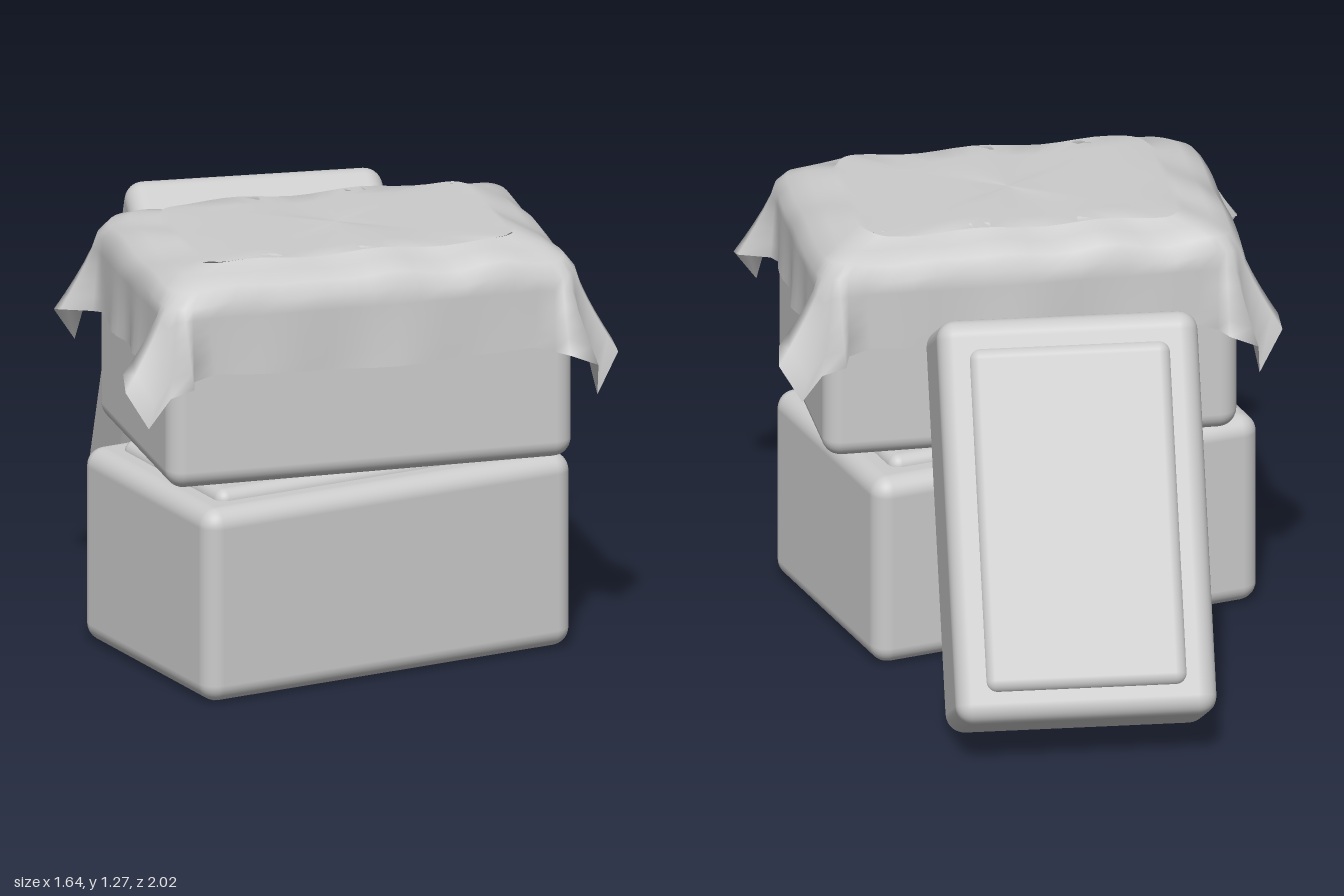
import * as THREE from 'three';
import { RoundedBoxGeometry } from 'three/addons/geometries/RoundedBoxGeometry.js';

const grey = new THREE.MeshStandardMaterial({ color: 0xcccccc });
const fabric = new THREE.MeshStandardMaterial({ color: 0xcccccc, side: THREE.DoubleSide });

// Soft-edged crate with a slightly raised panel on its +y face
function makeCrate(name, w, h, d, raise) {
  const crate = new THREE.Group();
  crate.name = name;
  const body = new THREE.Mesh(new RoundedBoxGeometry(w, h, d, 4, 0.055), grey);
  body.name = name + 'Body';
  const panel = new THREE.Mesh(new RoundedBoxGeometry(w - 0.17, 0.1, d - 0.17, 4, 0.035), grey);
  panel.name = name + 'Panel';
  panel.position.y = h / 2 + raise - 0.05;
  crate.add(body, panel);
  return crate;
}

// Hem at each corner: [along first side normal, along second side normal, y]
const CORNER_HEM = [
  [0.02, -0.13, 0.97], [0.03, -0.07, 0.955], [0.125, -0.05, 0.97], [0.14, 0.03, 0.94],
  [0.075, 0.045, 0.83],
  [0.03, 0.12, 0.94], [-0.04, 0.12, 0.96], [-0.065, 0.03, 0.955], [-0.13, 0.02, 0.97],
];
const SIDE_STEPS = 14;

// Draped cloth: a loop of (edge, hem) pairs around the crate, joined by rings
function makeCloth(hx, hz) {
  const loop = [];
  const corners = [[1, 1], [1, -1], [-1, -1], [-1, 1]];
  const cornerPoints = corners.map(([sx, sz], c) => {
    const nx = [sx, 0], nz = [0, sz];
    const [e1, e2] = c % 2 === 0 ? [nz, nx] : [nx, nz];
    const at = (a, b) => [sx * hx + e1[0] * a + e2[0] * b, sz * hz + e1[1] * a + e2[1] * b];
    return CORNER_HEM.map(([a, b, y], i) => {
      const t = (i / (CORNER_HEM.length - 1)) * Math.PI / 2;
      const round = v => -0.13 + 0.13 * Math.pow(Math.max(v, 0), 0.6);
      const hem = at(a, b);
      return { edge: at(round(Math.cos(t)), round(Math.sin(t))), hem: [hem[0], y, hem[1]] };
    });
  });
  cornerPoints.forEach((pts, c) => {
    loop.push(...pts);
    const p = pts[pts.length - 1], q = cornerPoints[(c + 1) % 4][0];
    const alongX = c % 2 === 1;
    const [sx, sz] = corners[c];
    for (let i = 1; i < SIDE_STEPS; i++) {
      const t = i / SIDE_STEPS, fade = Math.sin(Math.PI * t);
      const mix = (a, b) => a + (b - a) * t;
      const wave = 0.012 * fade * Math.sin(t * 14 + c * 2);
      const hem = p.hem.map((v, k) => mix(v, q.hem[k]));
      hem[alongX ? 2 : 0] += (alongX ? sz : sx) * (wave + 0.004);
      hem[1] -= 0.018 * fade;
      loop.push({ edge: [mix(p.edge[0], q.edge[0]), mix(p.edge[1], q.edge[1])], hem });
    }
  });

  // Rings from the centre of the top out to the rolled edge: [inset, y]
  const topRings = [[1, 1.268], [0.7, 1.268], [0.45, 1.268], [0.25, 1.267],
    [0.13, 1.262], [0.06, 1.243], [0.01, 1.217], [-0.018, 1.18]];
  const hang = [0.2, 0.4, 0.6, 0.8, 1];
  const pos = [], index = [];
  const n = loop.length;
  const edgeAt = (e, d) => {
    // Insets are absolute near the rim and proportional towards the centre
    const kx = d > 0.2 ? 1 - d : 1 - d / hx, kz = d > 0.2 ? 1 - d : 1 - d / hz;
    return [e[0] * kx, e[1] * kz];
  };
  topRings.forEach(([inset, y]) => loop.forEach(({ edge }) => {
    const [x, z] = edgeAt(edge, inset);
    const ripple = 0.006 * Math.sin(x * 17 + z * 3) + (inset < 0.2 ? 0.006 * Math.sin(x * 23 - z * 19) : 0);
    pos.push(x, y + ripple, z);
  }));
  hang.forEach(k => loop.forEach(({ edge, hem }) => {
    const [x, z] = edgeAt(edge, -0.018);
    const f = Math.pow(k, 1.25);
    pos.push(x + (hem[0] - x) * f, 1.18 + (hem[1] - 1.18) * k, z + (hem[2] - z) * f);
  }));
  const rings = topRings.length + hang.length;
  for (let r = 0; r < rings - 1; r++) {
    for (let i = 0; i < n; i++) {
      const a = r * n + i, b = r * n + (i + 1) % n;
      index.push(a, a + n, b, b, a + n, b + n);
    }
  }
  const geo = new THREE.BufferGeometry();
  geo.setAttribute('position', new THREE.Float32BufferAttribute(pos, 3));
  geo.setIndex(index);
  geo.computeVertexNormals();
  const cloth = new THREE.Mesh(geo, fabric);
  cloth.name = 'drapedCloth';
  return cloth;
}

export function createModel() {
  const model = new THREE.Group();
  model.name = 'crateStack';

  // Crate on the ground
  const lower = makeCrate('lowerCrate', 1.205, 0.58, 0.76, 0.03);
  lower.position.set(-0.022, 0.295, 0.37);

  // Turned crate on top, with its cloth
  const upperStack = new THREE.Group();
  upperStack.name = 'coveredCrate';
  const upper = makeCrate('upperCrate', 1.21, 0.585, 0.77, 0.03);
  upper.position.y = 0.91;
  upperStack.add(upper, makeCloth(0.605, 0.385));
  upperStack.position.set(0.005, 0, 0.37);
  upperStack.rotation.y = -0.228;

  // Crate leaning against the back of the stack
  const leaning = makeCrate('leaningCrate', 0.755, 0.395, 1.165, 0.02);
  leaning.rotation.set(0.489 - Math.PI / 2, -0.3, 0, 'YXZ');
  leaning.position.set(0.18, 0.592, -0.49);

  model.add(lower, upperStack, leaning);
  return model;
}
